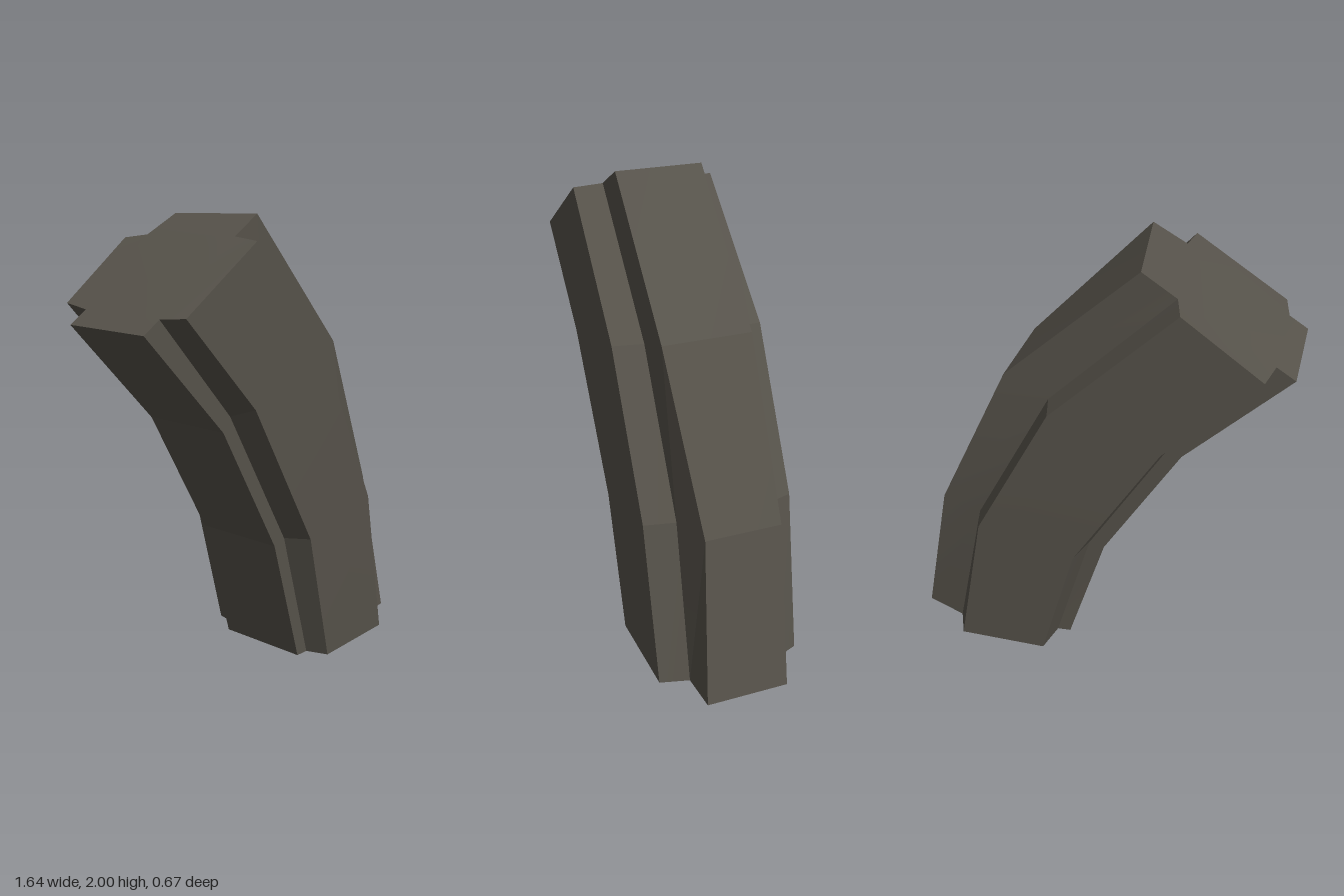
import * as THREE from 'three';
import { toCreasedNormals } from 'three/addons/utils/BufferGeometryUtils.js';

// Edge lines of the curved body in the x, y plane, from bottom to top
const inner = [[0.09, 0.015], [-0.075, 0.59], [-0.4, 1.16], [-0.82, 1.6]];
const innerStep = [[0.15, 0.015], [-0.01, 0.61], [-0.36, 1.22], [-0.74, 1.65]];
const plateInner = [[0.185, 0.015], [0.03, 0.62], [-0.34, 1.26], [-0.715, 1.66]];
const plateOuter = [[0.605, 0.015], [0.46, 0.71], [0.135, 1.37], [-0.325, 1.91]];
const outerStep = [[0.64, 0.015], [0.49, 0.71], [0.16, 1.37], [-0.31, 1.92]];
const outer = [[0.815, 0.02], [0.677, 0.72], [0.345, 1.43], [-0.17, 2]];

// The back has slightly different ends on its outer half
const backPlateOuter = [[0.59, 0], [0.46, 0.71], [0.125, 1.37], [-0.39, 1.895]];
const backOuterStep = [[0.635, 0.005], [0.49, 0.71], [0.15, 1.38], [-0.36, 1.91]];
const backOuter = [[0.818, 0.015], [0.68, 0.72], [0.355, 1.435], [-0.215, 1.99]];

// Each ridge: edge line and its depth z at every station, anticlockwise from above
const ridges = [
  [inner, [0.225, 0.22, 0.22, 0.22]],
  [innerStep, [0.23, 0.22, 0.22, 0.22]],
  [plateInner, [0.325, 0.335, 0.337, 0.33]],
  [plateOuter, [0.325, 0.335, 0.337, 0.33]],
  [outerStep, [0.2, 0.2, 0.205, 0.205]],
  [outer, [0.195, 0.155, 0.203, 0.198]],
  [backOuter, [-0.168, -0.18, -0.182, -0.205]],
  [backOuterStep, [-0.22, -0.23, -0.23, -0.225]],
  [backPlateOuter, [-0.325, -0.332, -0.335, -0.325]],
  [plateInner, [-0.33, -0.332, -0.33, -0.32]],
  [innerStep, [-0.2, -0.195, -0.19, -0.18]],
  [inner, [-0.195, -0.19, -0.185, -0.18]],
];

function buildBody() {
  const n = ridges.length, stations = inner.length;
  const positions = [], index = [];
  for (let s = 0; s < stations; s++) {
    for (const [line, depth] of ridges) positions.push(line[s][0], line[s][1], depth[s]);
  }
  // Walls between stations
  for (let s = 0; s < stations - 1; s++) {
    for (let j = 0; j < n; j++) {
      const k = (j + 1) % n;
      const a = s * n + j, b = s * n + k, c = b + n, d = a + n;
      index.push(a, b, c, a, c, d);
    }
  }
  // End caps
  for (const s of [0, stations - 1]) {
    const outline = ridges.map(([line, depth]) => new THREE.Vector2(line[s][0], -depth[s]));
    for (const [a, b, c] of THREE.ShapeUtils.triangulateShape(outline, [])) {
      const o = s * n;
      if (s === 0) index.push(o + a, o + c, o + b);
      else index.push(o + a, o + b, o + c);
    }
  }
  const geometry = new THREE.BufferGeometry();
  geometry.setAttribute('position', new THREE.Float32BufferAttribute(positions, 3));
  geometry.setIndex(index);
  return toCreasedNormals(geometry, 0.15);
}

export function createModel() {
  const group = new THREE.Group();
  group.name = 'curvedMagazine';
  const material = new THREE.MeshStandardMaterial({ color: 0x56524a });
  material.name = 'dark grey metal';
  const body = new THREE.Mesh(buildBody(), material);
  body.name = 'body';
  group.add(body);
  return group;
}
